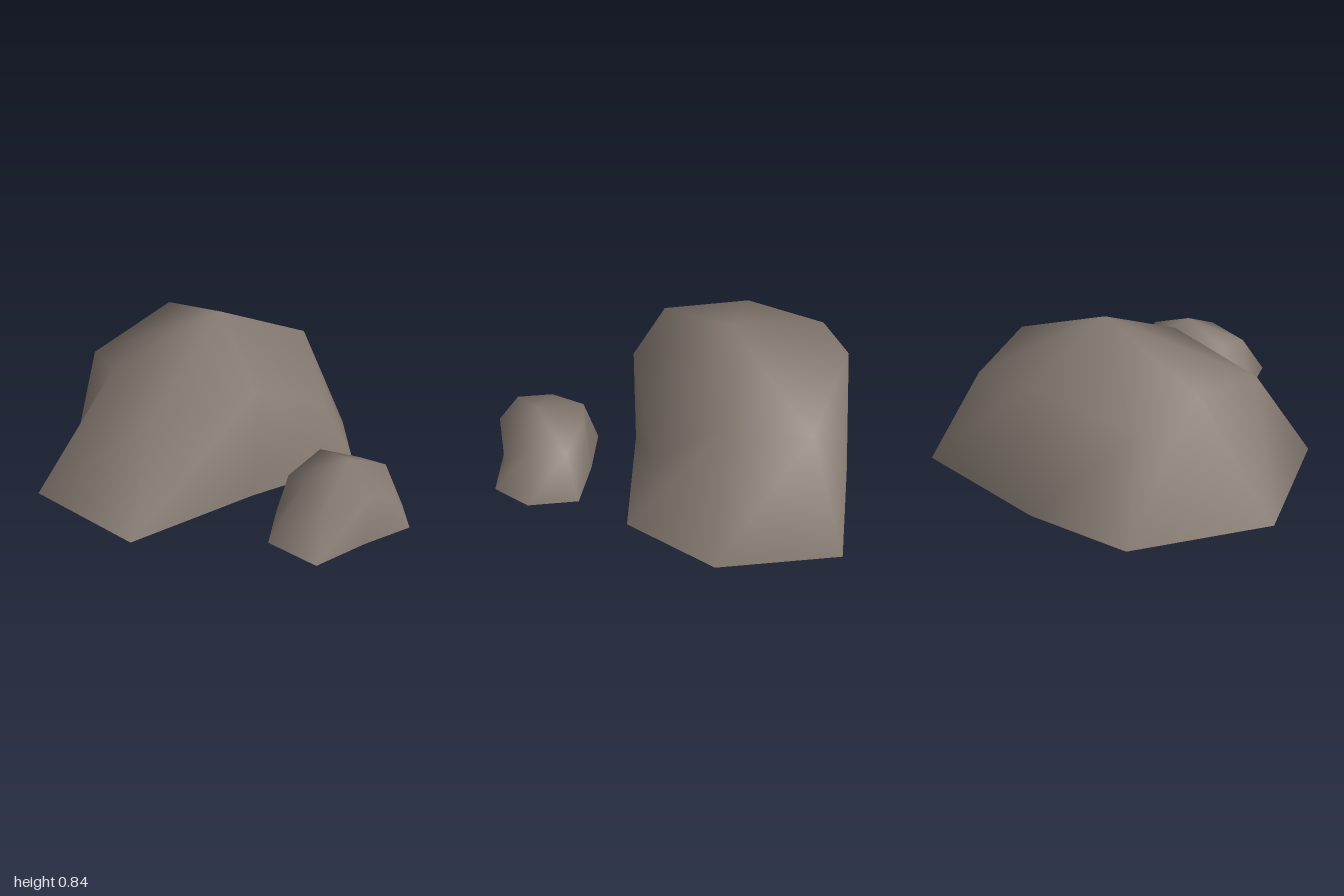
import * as THREE from 'three';

// Cross-sections of the boulder, eight corners each, going round from the back
const RIM = [
  [0.48, 0.05, -1.0], [0.81, 0.03, -0.51], [0.755, 0.03, 0.0], [0.17, 0.045, 0.31],
  [-0.455, 0.06, 0.71], [-0.885, 0.055, 0.18], [-0.68, 0.04, -0.51], [-0.16, 0.0, -0.75],
];
const SHOULDER = [
  [0.34, 0.555, -0.76], [0.55, 0.625, -0.42], [0.6, 0.34, -0.06], [0.19, 0.59, 0.29],
  [-0.35, 0.525, 0.43], [-0.49, 0.625, 0.0], [-0.57, 0.565, -0.4], [-0.15, 0.715, -0.71],
];
const PEAK = [0.07, 0.84, -0.19];

// Dome with an open underside: rim, shoulder ring and one peak
function boulderGeometry() {
  const n = RIM.length;
  const index = [];
  for (let i = 0; i < n; i++) {
    const j = (i + 1) % n;
    index.push(i, n + i, j); // wall, lower triangle
    index.push(n + i, n + j, j); // wall, upper triangle
    index.push(n + i, 2 * n, n + j); // crown
  }
  const geometry = new THREE.BufferGeometry();
  const points = [...RIM, ...SHOULDER, PEAK].flat();
  geometry.setAttribute('position', new THREE.Float32BufferAttribute(points, 3));
  geometry.setIndex(index);
  geometry.computeVertexNormals();
  return geometry;
}

export function createModel() {
  const group = new THREE.Group();
  group.name = 'rocks';
  const stone = new THREE.MeshStandardMaterial({ color: 0x857a71, side: THREE.DoubleSide });
  stone.name = 'stone';
  const geometry = boulderGeometry();

  const largeRock = new THREE.Mesh(geometry, stone);
  largeRock.name = 'largeRock';

  // Smaller copy in front
  const smallRock = new THREE.Mesh(geometry, stone);
  smallRock.name = 'smallRock';
  smallRock.scale.setScalar(0.42);
  smallRock.position.set(0.547, 0.032, 0.7);

  group.add(largeRock, smallRock);
  return group;
}
